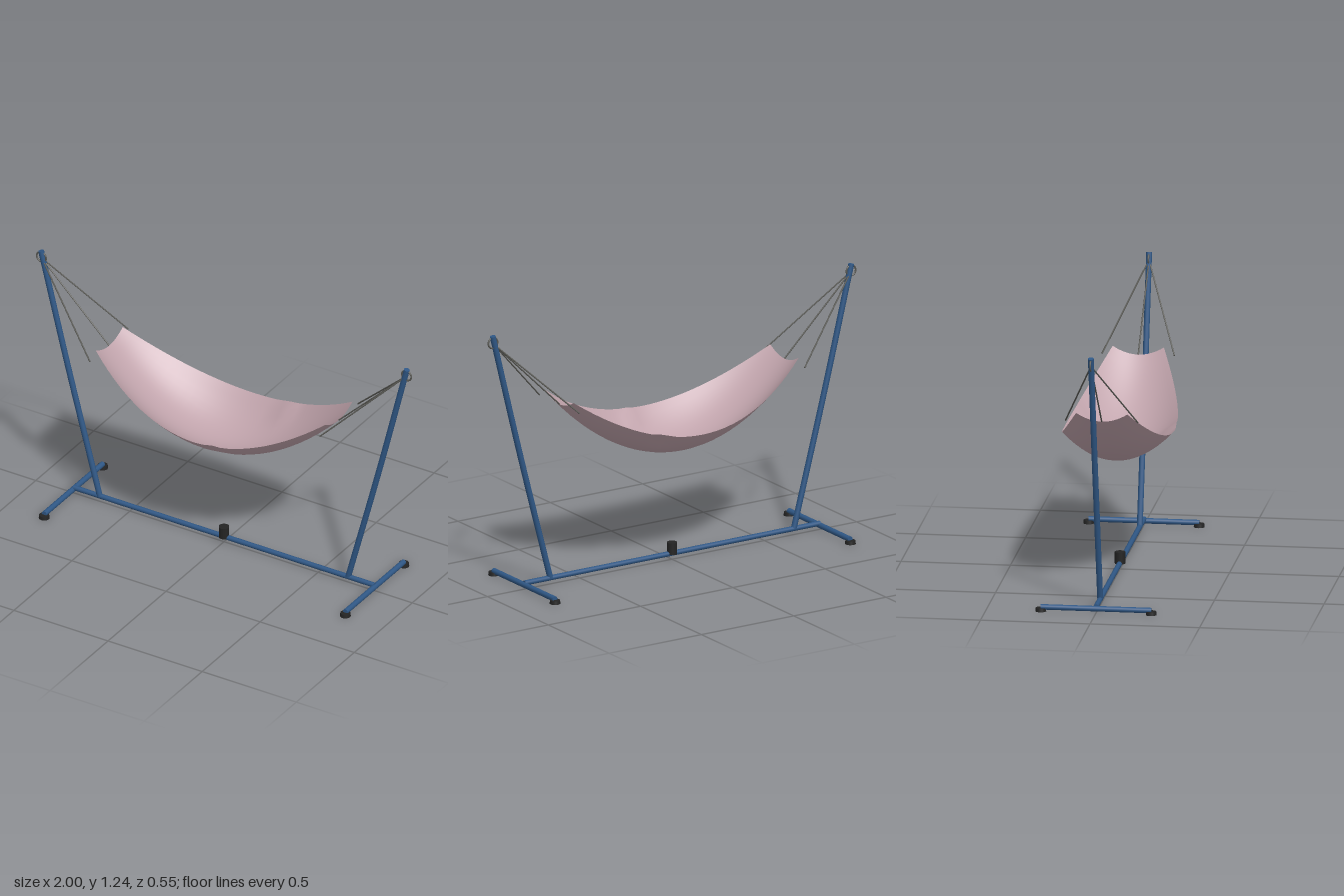
import * as THREE from 'three';

const mat = (color, side = THREE.FrontSide) => new THREE.MeshStandardMaterial({ color, side });

export function createModel() {
  const root = new THREE.Group();
  root.name = 'hammock';
  const steel = mat(0x2f5785);
  const rubber = mat(0x242424);
  const cord = mat(0x5a5a55);
  const fabric = mat(0xc0a3ab, THREE.DoubleSide);

  const add = (name, geometry, material, x = 0, y = 0, z = 0) => {
    const mesh = new THREE.Mesh(geometry, material);
    mesh.name = name;
    mesh.position.set(x, y, z);
    root.add(mesh);
    return mesh;
  };

  // Straight round bar between two points
  const bar = (name, a, b, radius, material, sides = 12) => {
    const from = new THREE.Vector3(...a);
    const dir = new THREE.Vector3(...b).sub(from);
    const mesh = add(name, new THREE.CylinderGeometry(radius, radius, dir.length(), sides), material);
    mesh.position.copy(from).addScaledVector(dir, 0.5);
    mesh.quaternion.setFromUnitVectors(new THREE.Vector3(0, 1, 0), dir.normalize());
    return mesh;
  };

  // Floor beam with the joint knob in the middle
  bar('floorBeam', [-0.8, 0.029, 0], [0.8, 0.029, 0], 0.012, steel);
  add('jointKnob', new THREE.CylinderGeometry(0.024, 0.024, 0.055, 16), rubber, 0, 0.054, 0);

  for (const s of [1, -1]) {
    const end = s > 0 ? 'left' : 'right';

    // Cross bar and rubber feet
    bar(end + 'CrossBar', [s * 0.8, 0.02, -0.252], [s * 0.8, 0.02, 0.252], 0.013, steel);
    for (const f of [1, -1]) {
      add(end + (f > 0 ? 'FrontFoot' : 'BackFoot'),
        new THREE.CylinderGeometry(0.023, 0.025, 0.016, 16), rubber, s * 0.8, 0.008, f * 0.252);
    }

    // Leaning post, very slightly bowed
    const lean = new THREE.CatmullRomCurve3([
      new THREE.Vector3(s * 0.66, 0.03, 0),
      new THREE.Vector3(s * 0.825, 0.65, 0),
      new THREE.Vector3(s * 0.971, 1.23, 0),
    ]);
    add(end + 'Post', new THREE.TubeGeometry(lean, 16, 0.0135, 12), steel);
    const cap = add(end + 'PostCap', new THREE.CylinderGeometry(0.0135, 0.0135, 0.004, 12), steel, s * 0.971, 1.23, 0);
    cap.rotation.z = -s * 0.24;

    // Hanging ring and three cords
    add(end + 'Ring', new THREE.TorusGeometry(0.025, 0.004, 8, 24), cord, s * 0.97, 1.2, 0);
    for (const z of [-0.165, 0, 0.165]) {
      bar(end + 'Cord', [s * 0.968, 1.195, 0], [s * 0.61, 0.846, z], 0.0035, cord, 6);
    }
  }

  // Sagging cloth: edge height, depth and half width all follow parabolas along x
  const cloth = new THREE.PlaneGeometry(2, 2, 28, 16);
  const p = cloth.attributes.position;
  for (let i = 0; i < p.count; i++) {
    const t = p.getX(i);
    const v = -p.getY(i);
    const halfWidth = 0.252 - 0.135 * t * t;
    const bottom = 0.525 + 0.32 * t * t;
    const edge = 0.66 + 0.222 * t * t;
    // Small puckers near each long edge
    const pucker = (t0, v0) => 0.02 * Math.exp(-(((t - t0) / 0.06) ** 2) - ((v - v0) / 0.2) ** 2);
    const dent = pucker(0.14, 0.82) + pucker(0.33, -0.85);
    p.setXYZ(i, 0.61 * t, bottom + (edge - bottom) * v * v + dent * 0.6,
      halfWidth * v - Math.sign(v) * dent * 0.4);
  }
  cloth.computeVertexNormals();
  add('cloth', cloth, fabric);

  return root;
}
